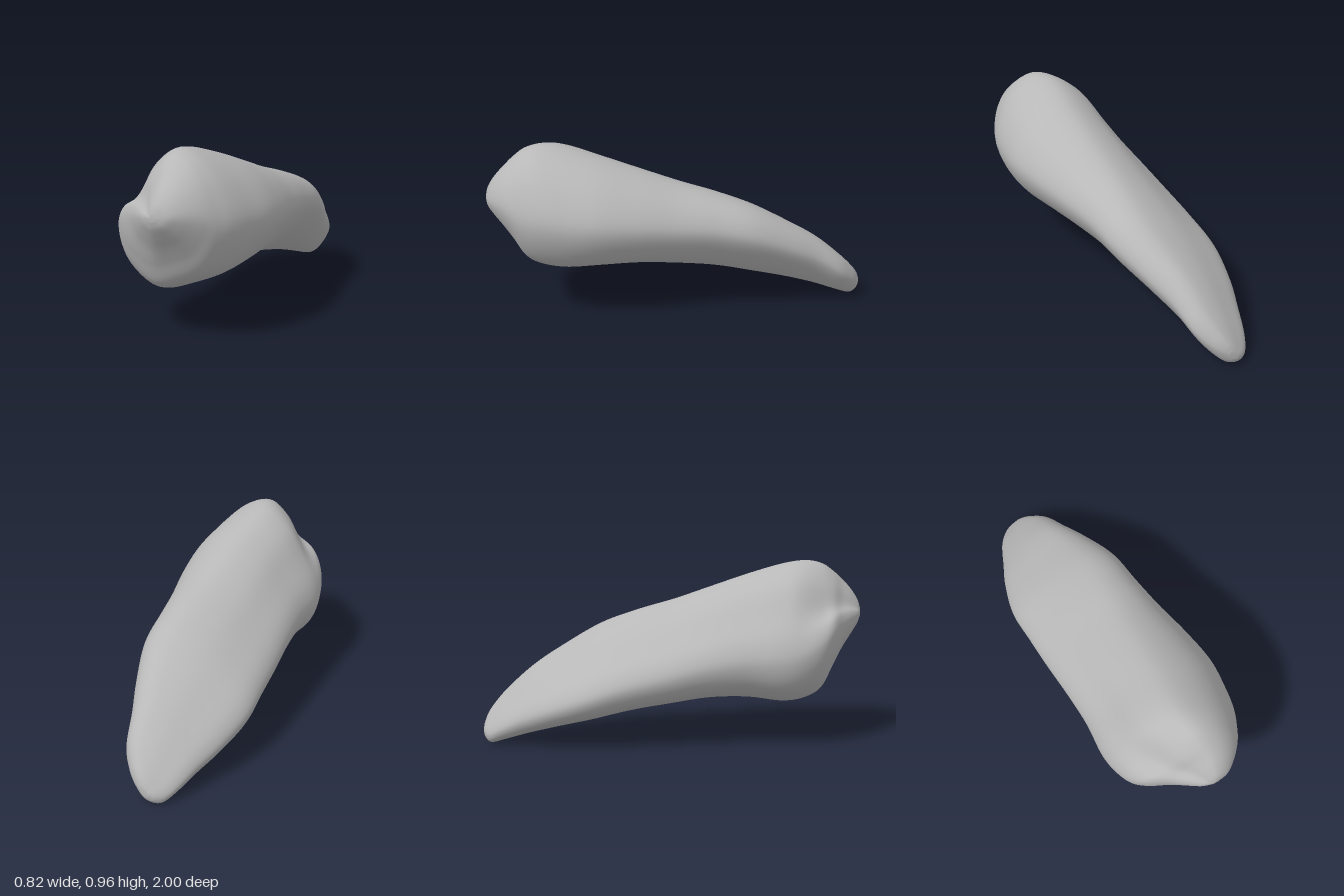
import * as THREE from 'three';

// Size of the body along its length: z, x min, x max, y min, y max
const SPANS = [
  [-1.0, -0.19, -0.14, 0.05, 0.10],
  [-0.985, -0.225, -0.10, 0.02, 0.145],
  [-0.95, -0.26, -0.05, 0.0, 0.20],
  [-0.88, -0.295, 0.01, 0.02, 0.28],
  [-0.75, -0.335, 0.06, 0.06, 0.395],
  [-0.6, -0.38, 0.13, 0.10, 0.495],
  [-0.4, -0.41, 0.21, 0.145, 0.61],
  [-0.2, -0.39, 0.25, 0.19, 0.685],
  [0.0, -0.365, 0.30, 0.22, 0.745],
  [0.2, -0.335, 0.36, 0.245, 0.815],
  [0.4, -0.31, 0.405, 0.245, 0.885],
  [0.58, -0.305, 0.405, 0.225, 0.94],
  [0.7, -0.28, 0.39, 0.24, 0.957],
  [0.79, -0.24, 0.36, 0.29, 0.94],
  [0.85, -0.18, 0.33, 0.40, 0.90],
  [0.9, -0.08, 0.295, 0.49, 0.855],
  [0.95, 0.0, 0.25, 0.565, 0.80],
  [0.985, 0.06, 0.205, 0.62, 0.745],
  [1.0, 0.11, 0.15, 0.66, 0.70],
];

// Cross-sections in a unit box, from the left edge through bottom, right and top
const TAIL = [[0, 0.24], [0.08, 0.07], [0.3, 0], [0.57, 0.08], [0.81, 0.32], [1, 0.7],
  [0.97, 0.88], [0.88, 0.98], [0.75, 1], [0.5, 0.87], [0.24, 0.63], [0.05, 0.41]];
const BODY = [[0, 0.31], [0.08, 0.12], [0.33, 0], [0.57, 0.06], [0.85, 0.21], [1, 0.52],
  [0.91, 0.77], [0.73, 0.94], [0.51, 1], [0.3, 0.88], [0.15, 0.67], [0.03, 0.47]];
const NOSE = [[0, 0.4], [0.08, 0.17], [0.35, 0], [0.6, 0.06], [0.85, 0.2], [1, 0.5],
  [0.92, 0.77], [0.75, 0.95], [0.56, 1], [0.38, 0.87], [0.24, 0.66], [0.06, 0.54]];

const RINGS = 120, SIDES = 64;

// Closed smooth section at a given z, blended between the three shapes
function sectionAt(z) {
  const a = THREE.MathUtils.smoothstep(z, -0.6, 0.6);
  const b = THREE.MathUtils.smoothstep(z, 0.62, 0.85);
  const points = BODY.map(([u, v], i) => new THREE.Vector3(
    THREE.MathUtils.lerp(THREE.MathUtils.lerp(TAIL[i][0], u, a), NOSE[i][0], b),
    THREE.MathUtils.lerp(THREE.MathUtils.lerp(TAIL[i][1], v, a), NOSE[i][1], b), 0));
  return new THREE.CatmullRomCurve3(points, true);
}

function loftGeometry() {
  // Two rails follow the lower and upper corners of the box around each section
  const rail = (ix, iy) => new THREE.CatmullRomCurve3(
    SPANS.map((s) => new THREE.Vector3(s[ix], s[iy], s[0])), false, 'catmullrom', 0.5);
  const low = rail(1, 3), high = rail(2, 4);
  const positions = [], index = [];

  for (let i = 0; i <= RINGS; i++) {
    const lo = low.getPoint(i / RINGS), hi = high.getPoint(i / RINGS);
    const section = sectionAt(lo.z);
    for (let j = 0; j < SIDES; j++) {
      const p = section.getPoint(j / SIDES);
      positions.push(
        THREE.MathUtils.lerp(lo.x, hi.x, p.x),
        THREE.MathUtils.lerp(lo.y, hi.y, p.y), lo.z);
    }
  }
  for (let i = 0; i < RINGS; i++) {
    for (let j = 0; j < SIDES; j++) {
      const k = (j + 1) % SIDES;
      const a = i * SIDES + j, b = i * SIDES + k;
      index.push(a, b, a + SIDES, b, b + SIDES, a + SIDES);
    }
  }

  // Close both tips with small fans
  const back = positions.length / 3, front = back + 1, last = RINGS * SIDES;
  const s0 = SPANS[0], s1 = SPANS[SPANS.length - 1];
  for (const s of [s0, s1]) positions.push((s[1] + s[2]) / 2, (s[3] + s[4]) / 2, s[0]);
  for (let j = 0; j < SIDES; j++) {
    const k = (j + 1) % SIDES;
    index.push(back, k, j, front, last + j, last + k);
  }

  const geometry = new THREE.BufferGeometry();
  geometry.setAttribute('position', new THREE.Float32BufferAttribute(positions, 3));
  geometry.setIndex(index);
  geometry.computeVertexNormals();
  return geometry;
}

export function createModel() {
  const group = new THREE.Group();
  group.name = 'smoothStone';
  const grey = new THREE.MeshStandardMaterial({ color: 0xb8b8b8 });
  grey.name = 'stone grey';
  const body = new THREE.Mesh(loftGeometry(), grey);
  body.name = 'stoneBody';
  group.add(body);
  return group;
}
